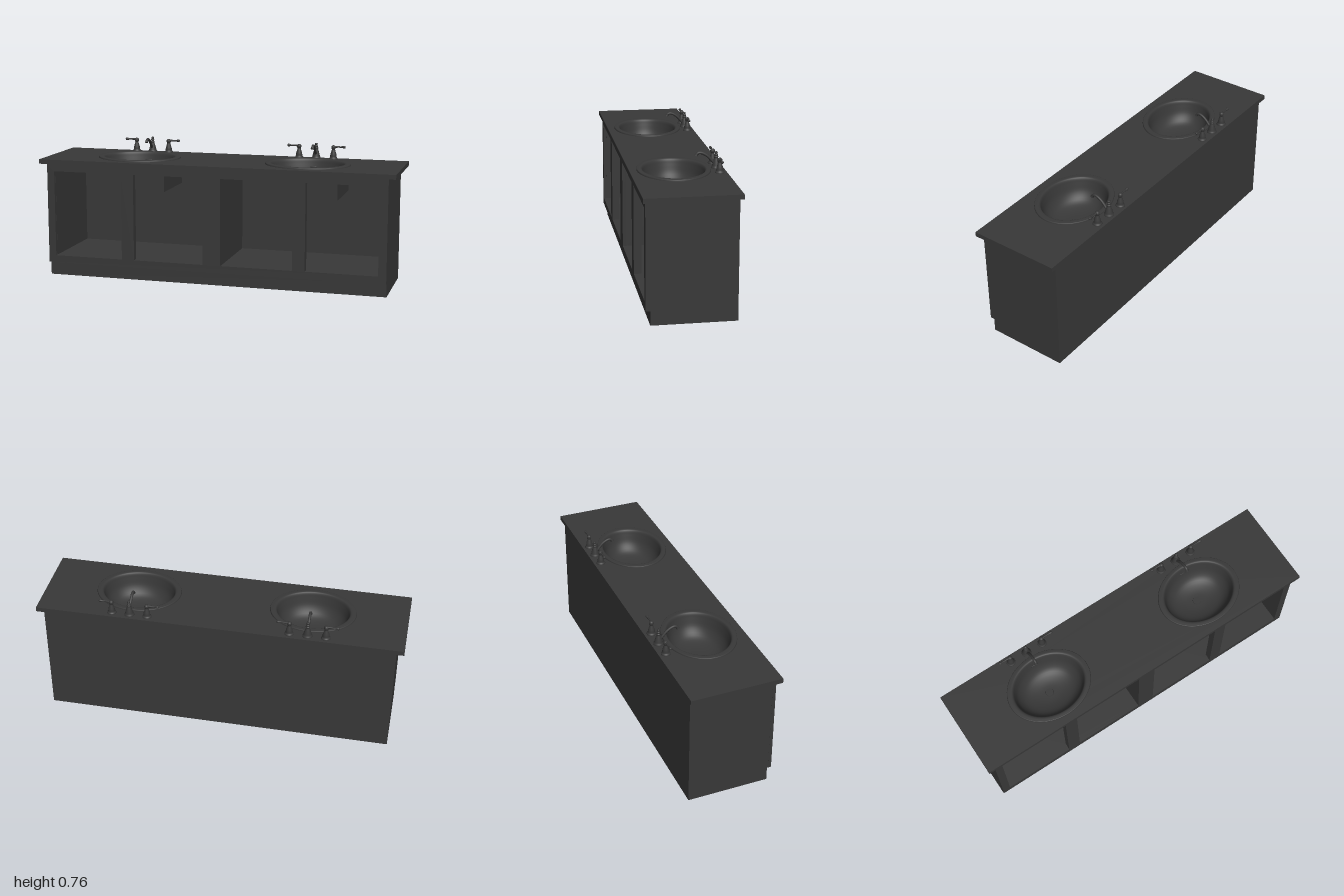
import * as THREE from 'three';

const material = new THREE.MeshStandardMaterial({ color: 0x383838, side: THREE.DoubleSide });

function add(parent, name, geometry, x = 0, y = 0, z = 0) {
  const mesh = new THREE.Mesh(geometry, material);
  mesh.name = name;
  mesh.position.set(x, y, z);
  parent.add(mesh);
  return mesh;
}

// Box given by its limits on each axis; openFace leaves out one face (2 = top, 3 = bottom)
function block(parent, name, x0, x1, y0, y1, z0, z1, openFace = -1) {
  const geo = new THREE.BoxGeometry(x1 - x0, y1 - y0, z1 - z0);
  if (openFace >= 0) {
    const index = Array.from(geo.index.array);
    index.splice(openFace * 6, 6);
    geo.setIndex(index);
    geo.clearGroups();
  }
  return add(parent, name, geo, (x0 + x1) / 2, (y0 + y1) / 2, (z0 + z1) / 2);
}

function rect(path, x0, x1, y0, y1) {
  path.moveTo(x0, y0).lineTo(x1, y0).lineTo(x1, y1).lineTo(x0, y1).closePath();
  return path;
}

function lathe(points, segments = 24) {
  return new THREE.LatheGeometry(new THREE.SplineCurve(points.map(p => new THREE.Vector2(...p))).getPoints(36), segments);
}

const SINK_X = 0.485, SINK_Z = 0.016, TOP = 0.665, FLOOR = 0.106;

function createCabinet() {
  const g = new THREE.Group();
  g.name = 'cabinet';
  // Front frame with four door openings
  const frame = rect(new THREE.Shape(), -0.96, 0.96, 0.076, 0.64);
  for (const [a, b] of [[-0.918, -0.522], [-0.45, -0.05], [0.05, 0.45], [0.52, 0.916]]) {
    frame.holes.push(rect(new THREE.Path(), a, b, 0.116, 0.598));
  }
  add(g, 'frontFrame', new THREE.ExtrudeGeometry(frame, { depth: 0.018, bevelEnabled: false }), 0, 0, 0.213);
  // Outer side panels, notched at the toe kick
  const side = new THREE.Shape();
  side.moveTo(0.235, 0).lineTo(-0.208, 0).lineTo(-0.208, 0.076).lineTo(-0.231, 0.076)
    .lineTo(-0.231, 0.64).lineTo(0.235, 0.64).closePath();
  for (const x of [-0.9595, 0.9565]) {
    const geo = new THREE.ExtrudeGeometry(side, { depth: 0.003, bevelEnabled: false });
    geo.rotateY(Math.PI / 2);
    add(g, 'sidePanel', geo, x);
  }
  block(g, 'backPanel', -0.9565, 0.9565, 0, 0.64, -0.235, -0.232);
  block(g, 'toeKick', -0.9565, 0.9565, 0, 0.08, 0.205, 0.208);
  // Hollow partition between the two compartments
  block(g, 'partition', -0.05, 0.05, FLOOR, 0.64, -0.232, 0.213, 3);
  for (const s of [-1, 1]) {
    const wallX = s * 0.918;
    block(g, 'innerWall', wallX - 0.001, wallX + 0.001, FLOOR, 0.64, -0.232, 0.213);
    // Compartment floor, notched round the hollow stile
    const x0 = s < 0 ? -0.918 : 0.05, stile = s * 0.486;
    const floor = new THREE.Shape();
    floor.moveTo(x0, 0.232).lineTo(x0, -0.213).lineTo(stile - 0.034, -0.213).lineTo(stile - 0.034, -0.19)
      .lineTo(stile + 0.034, -0.19).lineTo(stile + 0.034, -0.213).lineTo(x0 + 0.868, -0.213)
      .lineTo(x0 + 0.868, 0.232).closePath();
    const geo = new THREE.ExtrudeGeometry(floor, { depth: 0.01, bevelEnabled: false });
    geo.rotateX(-Math.PI / 2);
    add(g, 'floor', geo, 0, FLOOR);
    block(g, 'stile', stile - 0.034, stile + 0.034, FLOOR, 0.64, 0.19, 0.213, 3);
  }
  return g;
}

function createCountertop() {
  const shape = rect(new THREE.Shape(), -1, 1, -0.247, 0.247);
  for (const s of [-1, 1]) {
    shape.holes.push(new THREE.Path().absellipse(s * SINK_X, -SINK_Z, 0.215, 0.175, 0, Math.PI * 2));
  }
  const geo = new THREE.ExtrudeGeometry(shape, { depth: 0.025, bevelEnabled: false, curveSegments: 32 });
  geo.rotateX(-Math.PI / 2);
  const g = new THREE.Group();
  g.name = 'countertop';
  add(g, 'slab', geo, 0, 0.64);
  return g;
}

function createSink() {
  const g = new THREE.Group();
  g.name = 'sink';
  // Oval bowl with a raised rim
  const bowl = lathe([[0, 0.53], [0.3, 0.533], [0.58, 0.552], [0.74, 0.592], [0.81, 0.64],
    [0.84, 0.664], [0.88, 0.6735], [0.96, 0.6735], [0.99, 0.672], [1, 0.664]], 64);
  bowl.scale(0.236, 1, 0.192);
  add(g, 'bowl', bowl);
  // Box below the bowl, open at the top
  block(g, 'underBox', -0.197, 0.197, 0.501, 0.65, -0.1625, 0.1625, 2);
  add(g, 'drain', new THREE.CylinderGeometry(0.021, 0.023, 0.006, 24), 0, 0.532, -0.006);
  const slot = add(g, 'overflow', new THREE.SphereGeometry(1, 16, 8), 0, 0.627, -0.152);
  slot.scale.set(0.02, 0.005, 0.003);
  return g;
}

function createFaucet() {
  const g = new THREE.Group();
  g.name = 'faucet';
  // Centre body with a finial
  add(g, 'spoutBody', lathe([[0.027, 0], [0.026, 0.005], [0.022, 0.012], [0.019, 0.024], [0.014, 0.042],
    [0.01, 0.055], [0.012, 0.06], [0.008, 0.065], [0.01, 0.071], [0.006, 0.077],
    [0.008, 0.083], [0.006, 0.087], [0, 0.089]]));
  // Curved spout
  const path = new THREE.CatmullRomCurve3([[0.008, 0.022], [0.024, 0.042], [0.046, 0.065],
    [0.07, 0.08], [0.088, 0.084], [0.1, 0.079], [0.105, 0.071]].map(([z, y]) => new THREE.Vector3(0, y, z)));
  add(g, 'spout', new THREE.TubeGeometry(path, 32, 0.0075, 14));
  const nozzle = add(g, 'nozzle', new THREE.CylinderGeometry(0.008, 0.0095, 0.009, 14), 0, 0.072, 0.105);
  nozzle.rotation.x = -0.4;
  // Lever handles, mirrored
  for (const s of [-1, 1]) {
    const handle = new THREE.Group();
    handle.name = 'handle';
    handle.position.x = s * 0.098;
    add(handle, 'handleBody', lathe([[0.025, 0], [0.024, 0.005], [0.019, 0.012], [0.017, 0.026], [0.012, 0.044],
      [0.009, 0.055], [0.012, 0.061], [0.012, 0.071], [0.007, 0.077], [0, 0.079]]));
    const lever = lathe([[0, 0], [0.006, 0.002], [0.0045, 0.025], [0.0045, 0.045], [0.0075, 0.058],
      [0.0065, 0.066], [0, 0.069]], 14);
    lever.rotateZ(-s * Math.PI / 2);
    add(handle, 'lever', lever, 0, 0.07);
    g.add(handle);
  }
  return g;
}

export function createModel() {
  const model = new THREE.Group();
  model.name = 'doubleVanity';
  model.add(createCabinet(), createCountertop());
  for (const s of [-1, 1]) {
    const sink = createSink();
    sink.position.set(s * SINK_X, 0, SINK_Z);
    const faucet = createFaucet();
    faucet.position.set(s * SINK_X, TOP, -0.208);
    model.add(sink, faucet);
  }
  return model;
}
